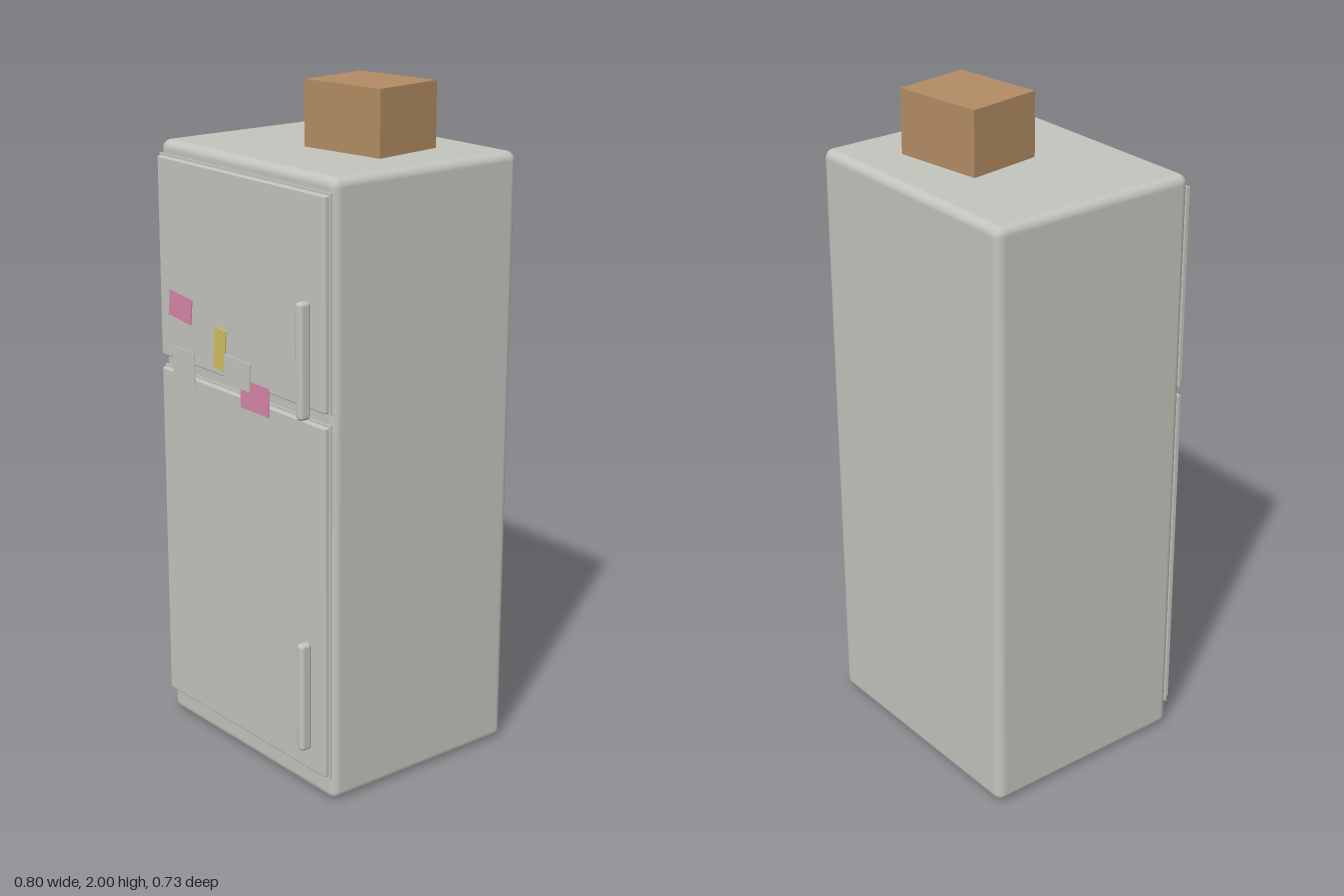
import * as THREE from 'three';
import { RoundedBoxGeometry } from 'three/addons/geometries/RoundedBoxGeometry.js';

function material(name, color) {
  const m = new THREE.MeshStandardMaterial({ color });
  m.name = name;
  return m;
}

export function createModel() {
  const group = new THREE.Group();
  const enamel = material('greyEnamel', 0xc4c4be);
  const cardboard = material('cardboardBrown', 0xb28c63);
  const pink = material('notePink', 0xd687a7);
  const yellow = material('noteYellow', 0xd2bf5e);

  const add = (name, geometry, mat, x, y, z) => {
    const mesh = new THREE.Mesh(geometry, mat);
    mesh.name = name;
    mesh.position.set(x, y, z);
    group.add(mesh);
    return mesh;
  };

  // Cabinet
  add('cabinet', new RoundedBoxGeometry(0.8, 1.81, 0.665, 3, 0.027), enamel, 0, 0.905, -0.0325);

  // Doors, each with a slightly wider thin seal behind it, and its handle
  const doors = [
    { name: 'freezerDoor', bottom: 1.17, top: 1.765, handleY: 1.31 },
    { name: 'fridgeDoor', bottom: 0.08, top: 1.13, handleY: 0.32 },
  ];
  for (const { name, bottom, top, handleY } of doors) {
    const h = top - bottom, y = (top + bottom) / 2;
    add(name, new RoundedBoxGeometry(0.77, h, 0.02, 2, 0.005), enamel, 0, y, 0.31);
    add(name + 'Seal', new THREE.BoxGeometry(0.784, h + 0.012, 0.006), enamel, 0, y, 0.302);
    add(name + 'Handle', new RoundedBoxGeometry(0.028, 0.33, 0.038, 3, 0.011), enamel, 0.322, handleY, 0.344);
  }

  // Paper notes stuck on the doors, some bridging the gap
  const notes = [
    ['pinkNoteLeft', pink, -0.28, 1.335, 0.11, 0.077, -0.11, 0.322],
    ['yellowNote', yellow, -0.087, 1.25, 0.051, 0.12, -0.08, 0.322],
    ['pinkNoteRight', pink, 0.075, 1.143, 0.13, 0.085, 0, 0.321],
    ['greyNoteLeft', enamel, -0.27, 1.15, 0.11, 0.12, 0, 0.321],
    ['greyNoteRight', enamel, -0.005, 1.198, 0.122, 0.082, -0.05, 0.323],
  ];
  for (const [name, mat, x, y, w, h, turn, z] of notes) {
    add(name, new THREE.BoxGeometry(w, h, 0.004), mat, x, y, z).rotation.z = turn;
  }

  // Cardboard box resting on top, turned a little
  add('cardboardBox', new THREE.BoxGeometry(0.285, 0.19, 0.237), cardboard, 0.0945, 1.905, -0.08).rotation.y = 0.138;

  return group;
}
